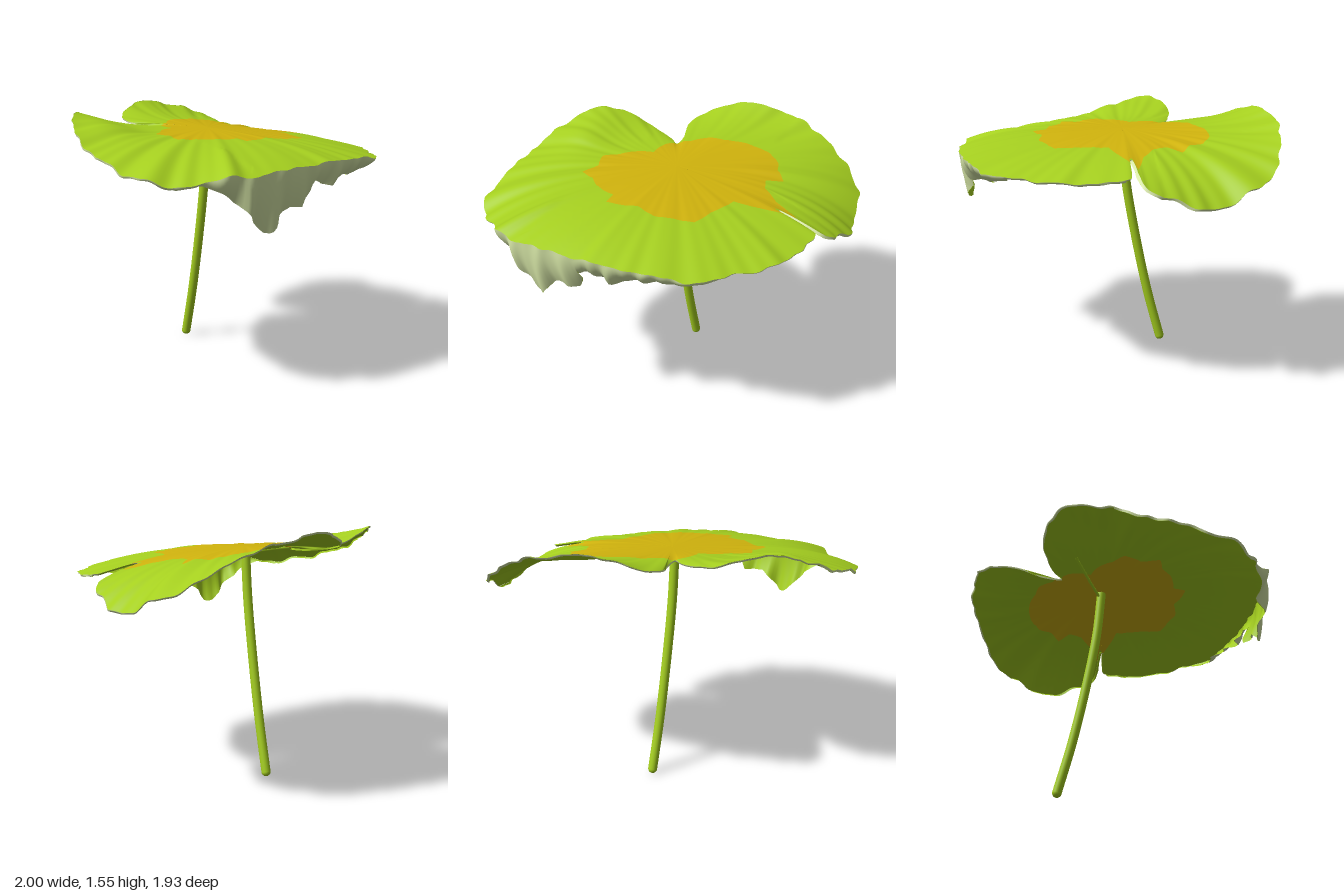
import * as THREE from 'three';

const CX = -0.04, CZ = -0.065, SPOKES = 420, INNER = 8, OUTER = 20;

// Leaf outline [x, y, z]: left lobe, front, side slit, back lobe, notch
const RIM = [
  [-0.22, 1.42, -0.32], [-0.28, 1.42, -0.36], [-0.4, 1.43, -0.4], [-0.58, 1.46, -0.425], [-0.72, 1.51, -0.38],
  [-0.85, 1.51, -0.28], [-0.92, 1.47, -0.15], [-0.97, 1.42, 0], [-0.995, 1.36, 0.2], [-0.985, 1.3, 0.45],
  [-0.93, 1.25, 0.68], [-0.82, 1.22, 0.8], [-0.66, 1.25, 0.88], [-0.58, 1.26, 0.94], [-0.4, 1.27, 0.96],
  [-0.1, 1.29, 0.95], [0.2, 1.3, 0.91], [0.45, 1.29, 0.83], [0.66, 1.27, 0.72], [0.76, 1.27, 0.55],
  [0.86, 1.27, 0.43], [0.92, 1.27, 0.25], [0.94, 1.28, 0.1], [0.93, 1.29, -0.03], [0.86, 1.3, -0.045],
  [0.69, 1.34, -0.05], [0.67, 1.35, -0.062], [0.75, 1.33, -0.076], [0.86, 1.29, -0.088], [0.96, 1.25, -0.12],
  [0.98, 1.18, -0.28], [0.99, 1.14, -0.4], [0.93, 1.15, -0.56], [0.89, 1.21, -0.7], [0.76, 1.29, -0.84],
  [0.58, 1.39, -0.91], [0.4, 1.48, -0.945], [0.22, 1.51, -0.96], [0.05, 1.55, -0.92], [-0.1, 1.54, -0.88],
  [-0.18, 1.52, -0.82], [-0.28, 1.47, -0.75], [-0.315, 1.44, -0.6], [-0.25, 1.42, -0.45],
];

// Outline of the coloured heart [x, z]
const HEART = [
  [-0.26, -0.27], [-0.26, -0.13], [-0.36, -0.08], [-0.42, 0], [-0.5, 0.08], [-0.45, 0.18], [-0.48, 0.3],
  [-0.38, 0.32], [-0.3, 0.38], [-0.15, 0.41], [-0.14, 0.49], [0.05, 0.43], [0.17, 0.45], [0.28, 0.4],
  [0.38, 0.36], [0.4, 0.22], [0.44, 0.05], [0.6, 0], [0.7, -0.04], [0.78, -0.09], [0.62, -0.13],
  [0.5, -0.2], [0.46, -0.28], [0.54, -0.36], [0.46, -0.42], [0.42, -0.5], [0.33, -0.55], [0.15, -0.55],
  [0.02, -0.5], [-0.08, -0.47], [-0.15, -0.38], [-0.2, -0.35],
].map(([x, z]) => [Math.atan2(z - CZ, x - CX), Math.hypot(x - CX, z - CZ)]).sort((a, b) => a[0] - b[0]);
const firstH = HEART[0], lastH = HEART[HEART.length - 1];
const HEART_RADII = [[lastH[0] - 2 * Math.PI, lastH[1]], ...HEART, [firstH[0] + 2 * Math.PI, firstH[1]]];

// Lower edge of the drooping front flap [x, y]
const FLAP = [
  [-0.82, 1.2], [-0.7, 1.23], [-0.6, 1.18], [-0.5, 1.11], [-0.4, 1], [-0.35, 0.95], [-0.3, 0.94],
  [-0.22, 1.04], [-0.17, 1.07], [-0.05, 1.06], [0, 1.17], [0.05, 1.2], [0.12, 1.17], [0.22, 1.15],
  [0.35, 1.2], [0.45, 1.18], [0.55, 1.21], [0.64, 1.23], [0.72, 1.25],
];

// Linear lookup in a sorted table of [key, value]
function lookup(table, k) {
  if (k <= table[0][0]) return table[0][1];
  for (let i = 1; i < table.length; i++) {
    const [k0, v0] = table[i - 1], [k1, v1] = table[i];
    if (k <= k1) return v0 + (v1 - v0) * (k - k0) / (k1 - k0 || 1);
  }
  return table[table.length - 1][1];
}

// Closed band of rows; point(i, j) gives each vertex
function band(rows, point, flip = false) {
  const pos = [], index = [];
  for (let j = 0; j <= rows; j++) {
    for (let i = 0; i < SPOKES; i++) pos.push(...point(i, j));
  }
  for (let j = 0; j < rows; j++) {
    for (let i = 0; i < SPOKES; i++) {
      const n = (i + 1) % SPOKES;
      const a = j * SPOKES + i, b = a + SPOKES, c = j * SPOKES + n, d = c + SPOKES;
      if (flip) index.push(a, c, b, c, d, b);
      else index.push(a, b, c, c, b, d);
    }
  }
  const g = new THREE.BufferGeometry();
  g.setAttribute('position', new THREE.Float32BufferAttribute(pos, 3));
  g.setIndex(index);
  g.computeVertexNormals();
  return g;
}

export function createModel() {
  const leafGreen = new THREE.MeshStandardMaterial({ color: 0xa5cf1f, side: THREE.DoubleSide });
  leafGreen.name = 'leaf green';
  const heartOchre = new THREE.MeshStandardMaterial({ color: 0xd0b30d, side: THREE.DoubleSide });
  heartOchre.name = 'heart ochre';
  const paleGreen = new THREE.MeshStandardMaterial({ color: 0xd8e8a8 });
  paleGreen.name = 'pale green';

  const model = new THREE.Group();
  model.name = 'lilyPad';
  const add = (name, geometry, material) => {
    const mesh = new THREE.Mesh(geometry, material);
    mesh.name = name;
    model.add(mesh);
    return mesh;
  };

  // Each spoke runs from the centre to a gently scalloped rim
  const curve = new THREE.CatmullRomCurve3(RIM.map((p) => new THREE.Vector3(...p)), true, 'centripetal');
  const spokes = curve.getSpacedPoints(SPOKES).slice(0, SPOKES).map((rim) => {
    const angle = Math.atan2(rim.z - CZ, rim.x - CX);
    const scallop = 1 + 0.005 * Math.sin(angle * 37) + 0.003 * Math.sin(angle * 61 + 2);
    const dx = (rim.x - CX) * scallop, dz = (rim.z - CZ) * scallop;
    const radius = Math.hypot(dx, dz);
    // Beside the slit, bend as if the blade ran on to the outer edge
    const slit = angle > -0.055 && angle < 0.036;
    return {
      dx, dz, angle, radius,
      reach: slit ? 0.985 - 0.33 * angle : radius,
      edgeY: slit ? 1.274 + 0.44 * angle : rim.y,
      heart: Math.min(0.97, lookup(HEART_RADII, angle) / radius),
    };
  });

  // Blade: nearly flat in the middle, bending to the rim height with radial creases
  const blade = (i, t) => {
    const { dx, dz, angle, radius, reach, edgeY } = spokes[i];
    const x = CX + dx * t, z = CZ + dz * t, r = radius * t;
    const flat = 1.42 - 0.07 * Math.max(0, x) - 0.04 * z;
    const bend = (edgeY - flat) * (r / reach) ** 4;
    const swell = 0.05 * Math.exp(-((x + 0.75) ** 2) / 0.03 - ((z + 0.08) ** 2) / 0.05);
    const rough = x < -0.4 || (x > 0.3 && z < -0.2) ? 0.012 : 0.006;
    const crease = Math.sin(angle * 19) + 0.7 * Math.sin(angle * 31 + 1) + 0.4 * Math.sin(angle * 53);
    return [x, flat + bend + swell + rough * crease * r * r * (1 - 0.4 * t), z];
  };
  const leaf = band(INNER + OUTER, (i, j) => {
    const h = spokes[i].heart;
    return blade(i, j <= INNER ? h * j / INNER : h + (1 - h) * (j - INNER) / OUTER);
  });
  const split = INNER * SPOKES * 6;
  leaf.addGroup(0, split, 0);
  leaf.addGroup(split, OUTER * SPOKES * 6, 1);
  add('leafBlade', leaf, [heartOchre, leafGreen]);

  // Hem: a thin lip all round, deepening to a pleated flap at the front
  const hem = (i, j) => {
    const v = j / 10, [x, y, z] = blade(i, 1);
    const front = z > 0.6 && x > -0.82 && x < 0.72;
    const drop = front ? Math.max(0.011, y - lookup(FLAP, x)) : 0.011;
    const deep = Math.min(1, drop / 0.12);
    const tuck = 0.05 + 0.15 * Math.min(0.4, Math.max(0, x - 0.1));
    const pleat = deep * v * (0.02 * Math.sin(x * 38) + 0.01 * Math.sin(x * 67 + 1));
    const inward = 0.004 * v + deep * tuck * v * v;
    return [x - inward * 0.3 * Math.sign(x), y - drop * v, z - inward * Math.sign(z) + pleat];
  };
  add('hemOutside', band(10, hem), paleGreen);
  add('hemInside', band(10, (i, j) => {
    const [x, y, z] = hem(i, j);
    return [x * 0.997, y, z * 0.997];
  }, true), leafGreen);

  // Curved stem with a rounded foot
  const path = new THREE.CatmullRomCurve3([
    [-0.05, 0.03, -0.32], [-0.05, 0.35, -0.235], [-0.05, 0.75, -0.15], [-0.05, 1.1, -0.09], [-0.05, 1.41, -0.06],
  ].map((p) => new THREE.Vector3(...p)));
  add('stem', new THREE.TubeGeometry(path, 40, 0.029, 16), leafGreen);
  add('stemFoot', new THREE.SphereGeometry(0.029, 16, 12), leafGreen).position.set(-0.05, 0.03, -0.32);

  // Raised rib under the leaf
  const rib = new THREE.CatmullRomCurve3([
    [-0.05, 1.38, -0.07], [-0.2, 1.4, -0.13], [-0.46, 1.42, -0.22],
  ].map((p) => new THREE.Vector3(...p)));
  add('underRib', new THREE.TubeGeometry(rib, 16, 0.009, 8), leafGreen);

  return model;
}
